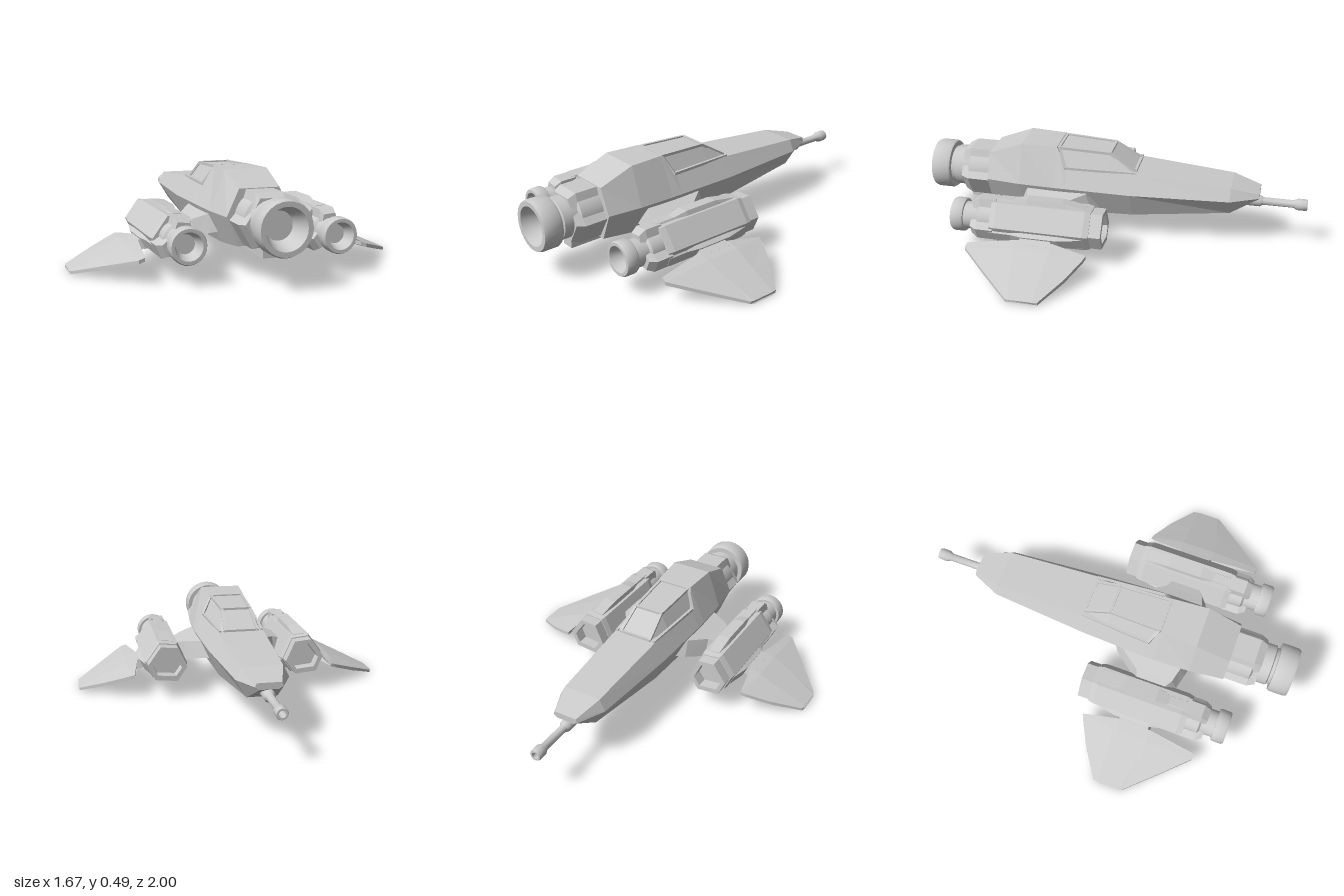
import * as THREE from 'three';
import { toCreasedNormals } from 'three/addons/utils/BufferGeometryUtils.js';

const flat = new THREE.MeshStandardMaterial({ color: 0xcccccc, flatShading: true });
const smooth = new THREE.MeshStandardMaterial({ color: 0xcccccc });

// Closed skin over rings of [x, y, z] points, with capped ends
function loft(rings) {
  const pos = [];
  const tri = (a, b, c) => pos.push(...a, ...b, ...c);
  const n = rings[0].length;
  for (let i = 0; i < rings.length - 1; i++) {
    for (let j = 0; j < n; j++) {
      const k = (j + 1) % n;
      const a = rings[i][j], b = rings[i][k], c = rings[i + 1][k], d = rings[i + 1][j];
      tri(a, b, c);
      tri(a, c, d);
    }
  }
  const first = rings[0], last = rings[rings.length - 1];
  for (let j = 1; j < n - 1; j++) {
    tri(first[0], first[j + 1], first[j]);
    tri(last[0], last[j], last[j + 1]);
  }
  const g = new THREE.BufferGeometry();
  g.setAttribute('position', new THREE.Float32BufferAttribute(pos, 3));
  g.computeVertexNormals();
  return g;
}

// Turned part along z from [radius, z] points
function turned(profile, x, y, segments = 28) {
  const g = new THREE.LatheGeometry(profile.map(p => new THREE.Vector2(...p)), segments);
  g.rotateX(Math.PI / 2);
  g.translate(x, y, 0);
  return toCreasedNormals(g, 0.6);
}

// Mirror a geometry across x = 0, keeping faces outward
function mirrored(geo) {
  const g = geo.index ? geo.toNonIndexed() : geo.clone();
  g.scale(-1, 1, 1);
  for (const name of ['position', 'normal']) {
    const a = g.attributes[name].array;
    for (let i = 0; i < a.length; i += 9) {
      for (let k = 3; k < 6; k++) [a[i + k], a[i + k + 3]] = [a[i + k + 3], a[i + k]];
    }
  }
  return g;
}

// Raised trapezoid rib on a round or faceted body; sections are [z, height, baseHalf, topHalf]
function rib(cx, cy, angle, inner, sections) {
  const u = [Math.cos(angle), Math.sin(angle)], v = [u[1], -u[0]];
  return loft(sections.map(([z, h, b, t]) =>
    [[inner, -b], [inner, b], [h, t], [h, -t]].map(([r, s]) =>
      [cx + u[0] * r + v[0] * s, cy + u[1] * r + v[1] * s, z])));
}

// Thin square bar between two points
function bar(p, q, size) {
  const a = new THREE.Vector3(...p), b = new THREE.Vector3(...q);
  const g = new THREE.BoxGeometry(size, size, a.distanceTo(b) + size * 0.6);
  const m = new THREE.Matrix4().lookAt(b, a, new THREE.Vector3(0, 1, 0));
  m.setPosition(a.add(b).multiplyScalar(0.5));
  return g.applyMatrix4(m);
}

export function createModel() {
  const model = new THREE.Group();
  const add = (name, geo, mat = flat, parent = model) => {
    const mesh = new THREE.Mesh(geo, mat);
    mesh.name = name;
    parent.add(mesh);
  };

  // Fuselage: [z, topHalf, topY, midHalf, midY, bottomHalf, bottomY]
  const hull = [
    [-0.755, 0.06, 0.305, 0.068, 0.285, 0.045, 0.272],
    [-0.61, 0.10, 0.34, 0.13, 0.28, 0.075, 0.19],
    [-0.1, 0.118, 0.38, 0.17, 0.28, 0.112, 0.14],
    [0.24, 0.137, 0.385, 0.186, 0.29, 0.12, 0.133],
    [0.30, 0.095, 0.485, 0.186, 0.29, 0.12, 0.133],
    [0.49, 0.108, 0.488, 0.18, 0.29, 0.118, 0.135],
    [0.67, 0.10, 0.42, 0.16, 0.29, 0.105, 0.15],
  ];
  add('fuselage', loft(hull.map(([z, t, ty, m, my, b, by]) => [
    [-b, by, z], [b, by, z], [m, my, z], [t, ty, z], [-t, ty, z], [-m, my, z],
  ])));

  // Canopy glass and frame
  const canopy = [
    [-0.115, 0.11, 0.373, 0.085, 0.382],
    [0.02, 0.122, 0.373, 0.075, 0.466],
    [0.29, 0.137, 0.376, 0.085, 0.478],
  ].map(([z, b, by, t, ty]) => [[-b, by, z], [b, by, z], [t, ty, z], [-t, ty, z]]);
  add('canopy', loft(canopy));
  const frame = new THREE.Group();
  frame.name = 'canopyFrame';
  model.add(frame);
  for (const k of [2, 3]) {
    add('windshieldRail', bar(canopy[0][k], canopy[1][k], 0.014), flat, frame);
    add('roofRail', bar(canopy[1][k], canopy[2][k], 0.014), flat, frame);
  }
  for (const k of [0, 1]) {
    const [x, , z] = canopy[0][k];
    const rearCorner = [x * 1.24, 0.388, 0.25];
    add('sill', bar([x, 0.38, z], rearCorner, 0.014), flat, frame);
    add('rearPost', bar(rearCorner, canopy[2][3 - k], 0.014), flat, frame);
  }
  for (const [i, name] of ['windshieldSill', 'windshieldHeader', 'rearHeader'].entries()) {
    add(name, bar(canopy[i][3], canopy[i][2], 0.014), flat, frame);
  }

  // Nose gun with hollow muzzle
  add('noseGun', turned([
    [0, -0.92], [0.017, -0.92], [0.017, -1], [0.027, -1], [0.03, -0.992], [0.03, -0.95],
    [0.02, -0.93], [0.02, -0.775], [0.03, -0.76], [0.03, -0.62], [0, -0.62],
  ], 0, 0.24, 16), smooth);

  // Main engine
  add('mainEngine', turned([
    [0, 0.64], [0.122, 0.64], [0.122, 0.79], [0.107, 0.80], [0.107, 0.88], [0.098, 0.885],
    [0.098, 0.9], [0.125, 0.9], [0.13, 0.91], [0.13, 0.985], [0.124, 1], [0.1, 1],
    [0.088, 0.96], [0.068, 0.9], [0, 0.9],
  ], 0, 0.284), smooth);
  for (let i = 0; i < 3; i++) {
    add('engineClamp', rib(0, 0.284, Math.PI / 2 + i * Math.PI * 2 / 3, 0.06, [
      [0.6, 0.132, 0.09, 0.066], [0.79, 0.132, 0.09, 0.066], [0.83, 0.112, 0.085, 0.06],
    ]));
  }
  const keel = new THREE.BoxGeometry(0.07, 0.05, 0.3);
  keel.translate(0, 0.143, 0.66);
  add('keel', keel);

  // Side parts, made for the left and mirrored to the right
  const px = 0.372, py = 0.187, tilt = 0.1;
  const corners = [0, 1, 2].map(i => Math.PI / 2 + tilt + i * Math.PI * 2 / 3);
  const podOutline = (r, half) => corners.flatMap(a => [half, -half].map(s =>
    [px + Math.cos(a) * r + Math.sin(a) * s, py + Math.sin(a) * r - Math.cos(a) * s]));
  const parts = [];

  const podBody = [[0.045, 0.1, 0.046], [0.075, 0.105, 0.052], [0.53, 0.105, 0.052], [0.56, 0.1, 0.048]];
  parts.push(['podBody', loft(podBody.map(([z, r, h]) => podOutline(r, h).map(p => [...p, z])))]);

  const toVec = pts => pts.map(p => new THREE.Vector2(...p));
  const intakeShape = new THREE.Shape(toVec(podOutline(0.094, 0.045)));
  intakeShape.holes.push(new THREE.Path(toVec(podOutline(0.072, 0.028))));
  const intake = new THREE.ExtrudeGeometry(intakeShape, { depth: 0.07, bevelEnabled: false });
  intake.translate(0, 0, -0.015);
  parts.push(['podIntake', intake]);

  for (const a of corners) {
    parts.push(['podRidge', rib(px, py, a, 0.06, [
      [0.08, 0.107, 0.045, 0.03], [0.2, 0.129, 0.048, 0.032],
      [0.38, 0.129, 0.048, 0.032], [0.45, 0.114, 0.045, 0.022], [0.56, 0.114, 0.045, 0.022],
    ])]);
    parts.push(['podClamp', rib(px, py, a, 0.03, [
      [0.54, 0.112, 0.05, 0.036], [0.63, 0.112, 0.05, 0.036], [0.665, 0.09, 0.045, 0.03],
    ])]);
  }
  parts.push(['podEngine', turned([
    [0, 0.54], [0.082, 0.54], [0.082, 0.63], [0.07, 0.64], [0.07, 0.71], [0.083, 0.71],
    [0.087, 0.718], [0.087, 0.765], [0.082, 0.775], [0.066, 0.775], [0.046, 0.71], [0, 0.71],
  ], px, py), smooth]);

  // Pylon between fuselage and pod: [x, topY, bottomY, zBack, zFront]
  parts.push(['pylon', loft([
    [0.12, 0.285, 0.19, 0.06, 0.49], [0.18, 0.268, 0.18, 0.1, 0.475],
    [0.25, 0.245, 0.15, 0.2, 0.455], [0.30, 0.23, 0.14, 0.22, 0.42],
  ].map(([x, t, b, z0, z1]) => [
    [x, b, z0], [x, t, z0 + 0.03], [x, t, z1 - 0.03], [x, b, z1],
  ]))]);

  // Wing mount and drooping wing
  parts.push(['wingMount', loft([[0.44, 0.152], [0.54, 0.125]].map(([x, y]) => [
    [x, y - 0.03, 0.22], [x, y + 0.02, 0.23], [x, y + 0.02, 0.39], [x, y - 0.03, 0.4],
  ]))]);
  // Wing stations: [xEdge, xMid, zBack, zMidBack, zMidFront, zFront, thick, edgeThick]
  const stations = [
    [0.543, 0.512, 0.04, 0.22, 0.4, 0.652, 0.026, 0.009],
    [0.572, 0.572, 0.05, 0.22, 0.4, 0.655, 0.029, 0.009],
    [0.69, 0.69, 0.11, 0.225, 0.385, 0.525, 0.02, 0.009],
    [0.83, 0.835, 0.205, 0.23, 0.35, 0.365, 0.009, 0.007],
  ];
  const wingY = x => 0.132 - (x - 0.5) * 0.365;
  parts.push(['wing', loft(stations.map(([xe, xm, z0, z1, z2, z3, t, e]) => {
    const at = (x, h, z) => [x, wingY(x) + h, z];
    return [at(xe, -e, z0), at(xe, e, z0), at(xm, t, z1), at(xm, t, z2),
      at(xe, e, z3), at(xe, -e, z3), at(xm, -t, z2), at(xm, -t, z1)];
  }))]);

  const left = new THREE.Group(), right = new THREE.Group();
  left.name = 'leftWingAssembly';
  right.name = 'rightWingAssembly';
  model.add(left, right);
  for (const [name, geo, mat] of parts) {
    add(name, geo, mat, left);
    add(name, mirrored(geo), mat, right);
  }
  return model;
}
